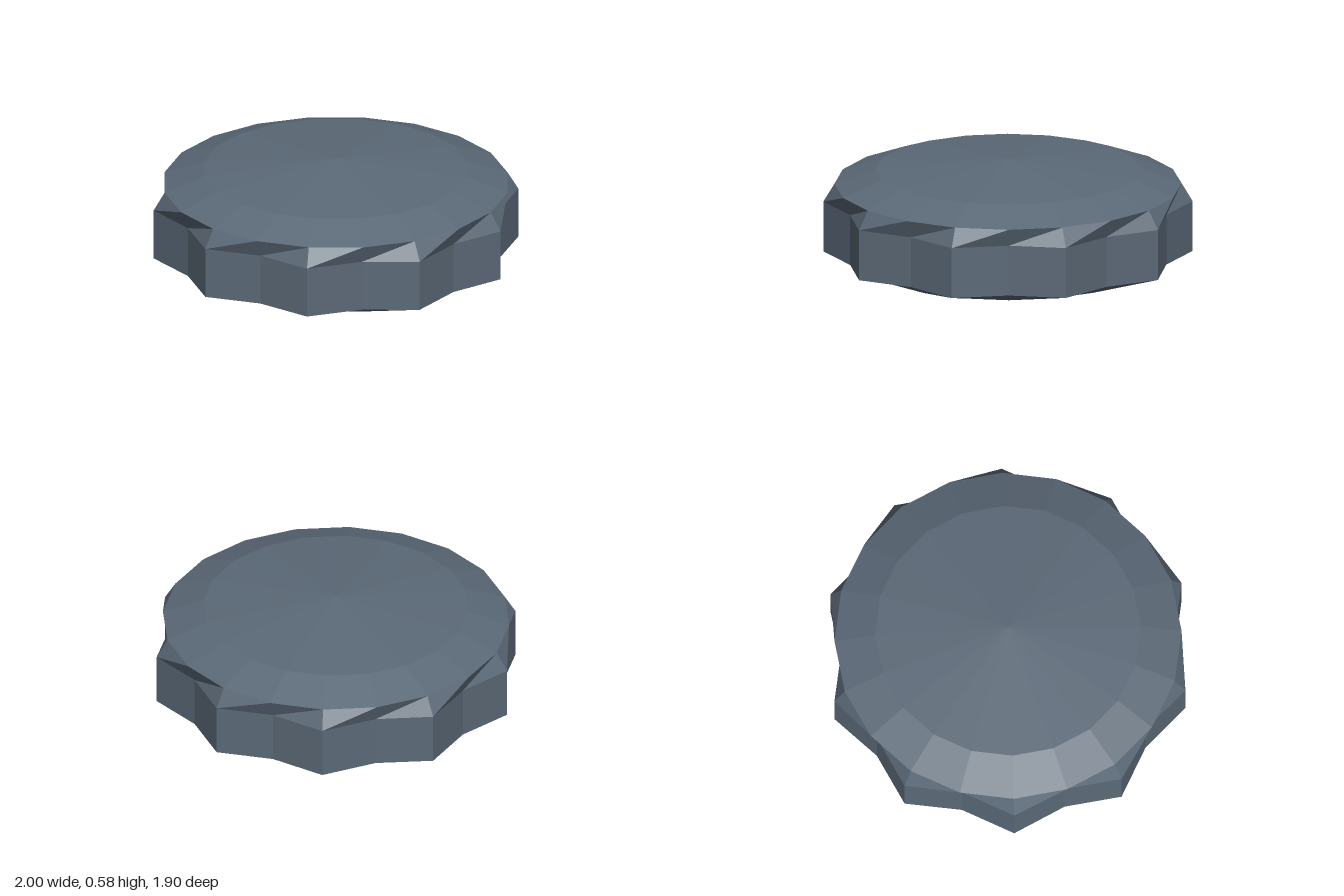
import * as THREE from 'three';

const SIDES = 20;

// One level of the body: lobe radius, valley radius, height
const ring = (lobe, valley, y) => ({ lobe, valley, y });

// Point i of a ring; odd points are lobes, even points are valleys
function point(r, i) {
  const a = (i * Math.PI * 2) / SIDES;
  const radius = i % 2 ? r.lobe : r.valley;
  return [radius * Math.sin(a), r.y, radius * Math.cos(a)];
}

// Skin a stack of rings from bottom to top; zero radius closes to a point
function skin(rings) {
  const pos = [];
  for (let k = 0; k < rings.length - 1; k++) {
    const low = rings[k], high = rings[k + 1];
    for (let i = 0; i < SIDES; i++) {
      const a = point(low, i), b = point(low, i + 1);
      const c = point(high, i + 1), d = point(high, i);
      if (low.lobe > 0) pos.push(...a, ...b, ...c);
      if (high.lobe > 0) pos.push(...a, ...c, ...d);
    }
  }
  const geo = new THREE.BufferGeometry();
  geo.setAttribute('position', new THREE.Float32BufferAttribute(pos, 3));
  geo.computeVertexNormals();
  return geo;
}

export function createModel() {
  const slate = new THREE.MeshStandardMaterial({ color: 0x5b6977, flatShading: true });
  slate.name = 'slate';

  const foot = ring(0.78, 0.78, 0);
  const gripBottom = ring(1, 0.9, 0.06);
  const gripTop = ring(1, 0.9, 0.34);
  const shoulder = ring(0.94, 0.94, 0.44);
  const rim = ring(0.72, 0.72, 0.52);

  const parts = {
    base: [ring(0, 0, 0), foot, gripBottom],   // flat underside and flare
    lobedGrip: [gripBottom, gripTop],          // ten-lobed upright wall
    shoulder: [gripTop, shoulder],             // twisted bevel from lobes to round
    domedCap: [shoulder, rim, ring(0, 0, 0.58)],
  };

  const knob = new THREE.Group();
  knob.name = 'lobedKnob';
  for (const [name, rings] of Object.entries(parts)) {
    const mesh = new THREE.Mesh(skin(rings), slate);
    mesh.name = name;
    knob.add(mesh);
  }
  return knob;
}
